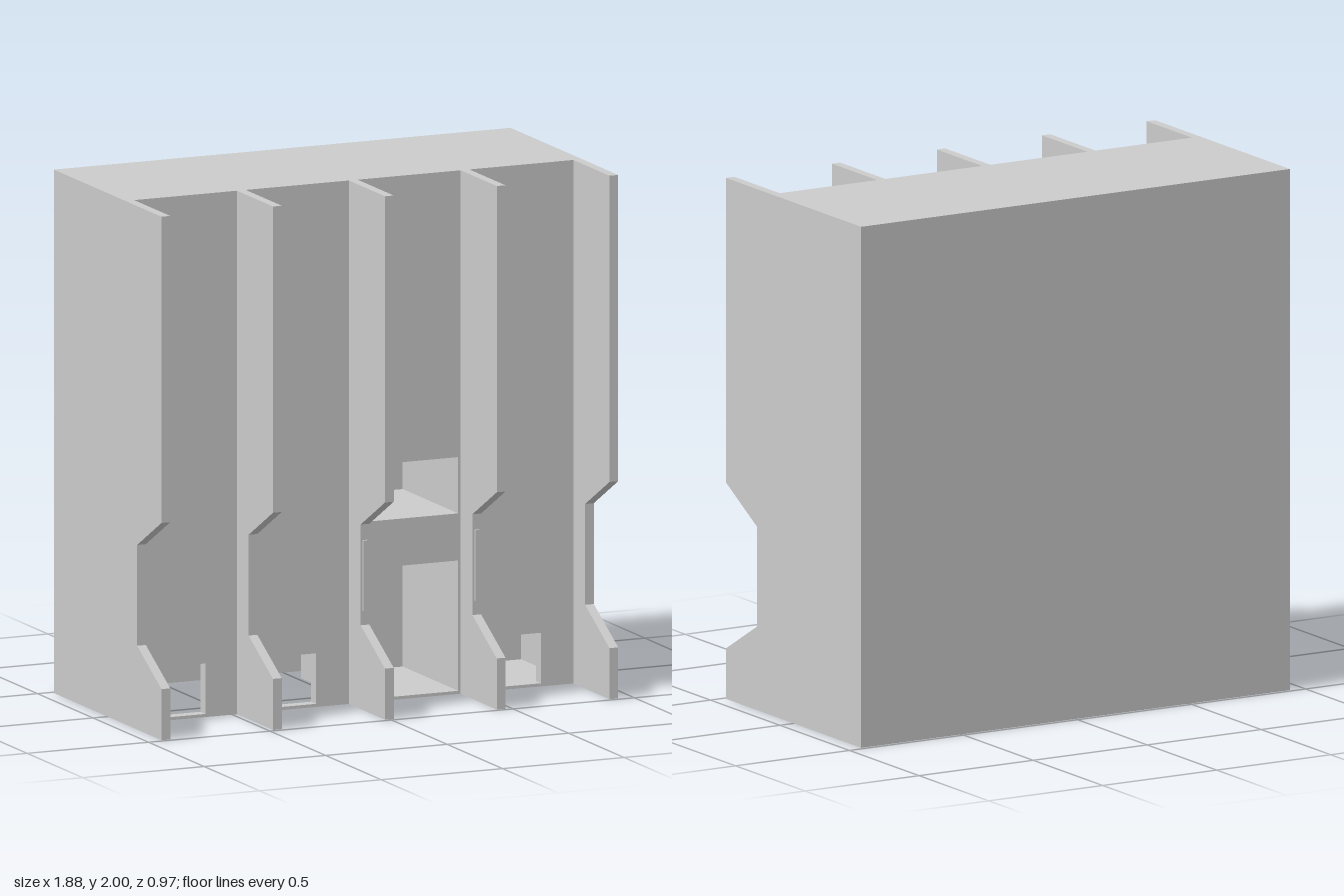
import * as THREE from 'three';

const W = 0.94, H = 2, BACK = -0.485, FACE = 0.16, FRONT = 0.485, T = 0.01;

export function createModel() {
  const group = new THREE.Group();
  const mat = new THREE.MeshStandardMaterial({ color: 0xcccccc, flatShading: true, side: THREE.DoubleSide });

  const add = (name, geo) => {
    const mesh = new THREE.Mesh(geo, mat);
    mesh.name = name;
    group.add(mesh);
    return mesh;
  };
  // Box given by its limits on each axis
  const block = (name, x0, x1, y0, y1, z0, z1) =>
    add(name, new THREE.BoxGeometry(x1 - x0, y1 - y0, z1 - z0)
      .translate((x0 + x1) / 2, (y0 + y1) / 2, (z0 + z1) / 2));
  const rect = (P, x0, x1, y0, y1) => {
    const p = new P();
    p.moveTo(x0, y0);
    p.lineTo(x1, y0);
    p.lineTo(x1, y1);
    p.lineTo(x0, y1);
    p.closePath();
    return p;
  };

  // Hollow housing, open at the bottom
  block('backPanel', -W, W, 0, H, BACK, BACK + T);
  block('topPanel', -W, W, H - T, H, BACK + T, FACE - T);
  block('rightPanel', -W, -W + T, 0, H - T, BACK + T, FACE - T);
  block('leftPanel', W - T, W, 0, H - T, BACK + T, FACE - T);

  // Front panel with cable holes and two large openings
  const cableHoles = [[-0.77, -0.61], [-0.31, -0.155], [0.61, 0.77]];
  const holeY = [0.012, 0.205];
  const openings = [[0.025, 0.43, 0.012, 0.51], [0.025, 0.43, 0.69, 0.905]];
  const panel = rect(THREE.Shape, -W, W, 0, H);
  for (const [a, b] of cableHoles) panel.holes.push(rect(THREE.Path, a, b, ...holeY));
  for (const o of openings) panel.holes.push(rect(THREE.Path, ...o));
  add('frontPanel', new THREE.ExtrudeGeometry(panel, { depth: T, bevelEnabled: false }).translate(0, 0, FACE - T));

  // Rims lining the cable holes
  for (const [a, b] of cableHoles) {
    const rim = rect(THREE.Shape, a - T, b + T, 0.002, holeY[1] + T);
    rim.holes.push(rect(THREE.Path, a, b, ...holeY));
    add('cableHoleRim', new THREE.ExtrudeGeometry(rim, { depth: 0.035, bevelEnabled: false })
      .translate(0, 0, FACE - T - 0.035));
  }

  // Recessed compartments behind the front panel
  const pocket = (name, x0, x1, y0, y1, z0) => {
    const z1 = FACE - T;
    block(name + 'Floor', x0 - T, x1 + T, y0 - T, y0, z0, z1);
    block(name + 'Ceiling', x0 - T, x1 + T, y1, y1 + T, z0, z1);
    block(name + 'RightWall', x0 - T, x0, y0, y1, z0, z1);
    block(name + 'LeftWall', x1, x1 + T, y0, y1, z0, z1);
    block(name + 'Back', x0 - T, x1 + T, y0 - T, y1 + T, z0 - T, z0);
  };
  pocket('lowerCompartment', ...openings[0], -0.34);
  pocket('upperCompartment', ...openings[1], -0.34);
  pocket('sideCompartment', 0.49, 0.89, 0.012, 0.51, -0.28);

  // Divider fins with a notch in the front edge
  const notch = [[FACE, 0], [FRONT, 0], [FRONT, 0.195], [0.265, 0.32],
    [0.265, 0.705], [FRONT, 0.83], [FRONT, H], [FACE, H]];
  const fin = new THREE.Shape(notch.map(([z, y]) => new THREE.Vector2(-z, y)));
  const finGeo = new THREE.ExtrudeGeometry(fin, { depth: 0.036, bevelEnabled: false }).rotateY(Math.PI / 2);
  for (const x of [-W, -0.481, -0.02, 0.44, W - 0.036]) add('dividerFin', finGeo).position.x = x;

  // Slim contact strips on two fins
  for (const x of [-0.012, 0.448]) block('contactStrip', x, x + 0.018, 0.375, 0.645, 0.26, 0.275);

  return group;
}
